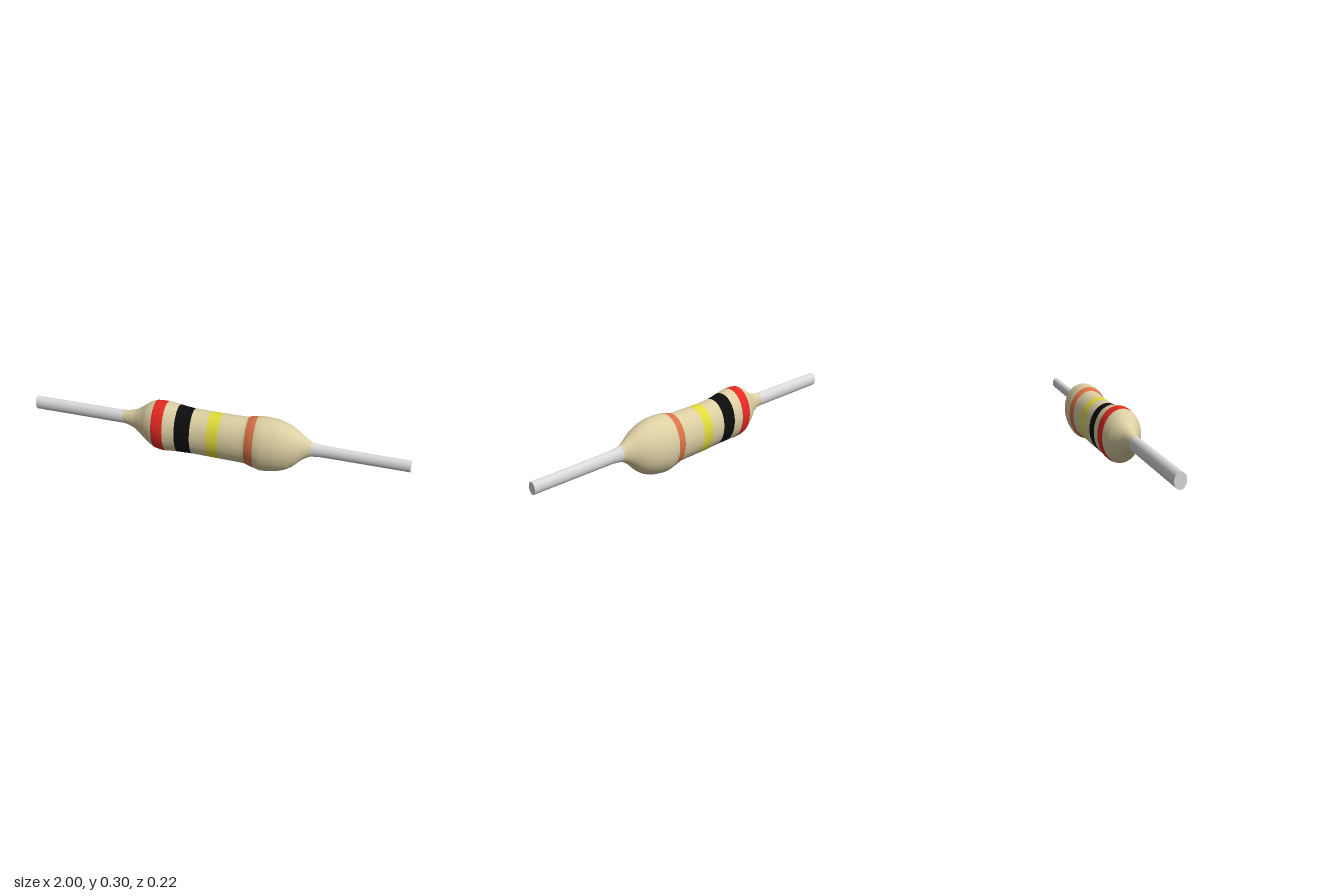
import * as THREE from 'three';

// Hull stations along x: [x, top y, bottom y, centre z]
const STATIONS = [
  [-1, 0.219, 0.144, 0.007], [-0.55, 0.219, 0.144, 0.007], [-0.49, 0.220, 0.144, 0.007],
  [-0.43, 0.231, 0.127, 0.007], [-0.38, 0.259, 0.088, 0.006], [-0.34, 0.290, 0.056, 0.006],
  [-0.30, 0.305, 0.033, 0.006], [-0.26, 0.307, 0.026, 0.006], [-0.20, 0.300, 0.029, 0.003],
  [-0.12, 0.287, 0.030, 0], [0, 0.282, 0.027, -0.003], [0.17, 0.283, 0.025, -0.003],
  [0.22, 0.296, 0.013, -0.002], [0.27, 0.301, 0.002, -0.001], [0.33, 0.298, 0.009, -0.001],
  [0.39, 0.282, 0.029, 0], [0.43, 0.263, 0.058, 0.002], [0.48, 0.231, 0.109, 0.005],
  [0.52, 0.210, 0.132, 0.007], [0.58, 0.203, 0.138, 0.008], [1, 0.199, 0.138, 0.008],
];
const Z_RATIO = 0.73; // oval section: depth relative to height
const SIDES = 64;

// Monotone cubic interpolation of one station column
function sample(col, x) {
  const S = STATIONS, n = S.length;
  let k = 0;
  while (k < n - 2 && x > S[k + 1][0]) k++;
  const secant = i => (S[i + 1][col] - S[i][col]) / (S[i + 1][0] - S[i][0]);
  const slope = i => {
    if (i === 0 || i === n - 1) return 0;
    const a = secant(i - 1), b = secant(i);
    return a * b <= 0 ? 0 : (2 * a * b) / (a + b);
  };
  const h = S[k + 1][0] - S[k][0], t = (x - S[k][0]) / h, t2 = t * t, t3 = t2 * t;
  return (2 * t3 - 3 * t2 + 1) * S[k][col] + (t3 - 2 * t2 + t) * h * slope(k)
    + (3 * t2 - 2 * t3) * S[k + 1][col] + (t3 - t2) * h * slope(k + 1);
}

function section(x) {
  const top = sample(1, x), bottom = sample(2, x), ry = (top - bottom) / 2;
  return { cy: (top + bottom) / 2, cz: sample(3, x), ry, rz: ry * Z_RATIO };
}

function hullPoint(x, angle, target) {
  const s = section(x);
  return target.set(x, s.cy + s.ry * Math.cos(angle), s.cz + s.rz * Math.sin(angle));
}

// Smooth slice of the hull between two x positions
function sliceGeometry(x0, x1) {
  const rows = Math.max(2, Math.ceil((x1 - x0) / 0.012));
  const positions = [], normals = [], index = [];
  const p = new THREE.Vector3(), a = new THREE.Vector3(), b = new THREE.Vector3();
  for (let i = 0; i <= rows; i++) {
    const x = x0 + (x1 - x0) * i / rows;
    for (let j = 0; j <= SIDES; j++) {
      const angle = j / SIDES * Math.PI * 2;
      hullPoint(x, angle, p);
      positions.push(p.x, p.y, p.z);
      // Normals come from the hull itself, so neighbouring slices match
      const along = hullPoint(Math.min(x + 0.002, 1), angle, a)
        .sub(hullPoint(Math.max(x - 0.002, -1), angle, b)).clone();
      const around = hullPoint(x, angle + 0.01, a).sub(hullPoint(x, angle - 0.01, b));
      const normal = around.cross(along).normalize();
      normals.push(normal.x, normal.y, normal.z);
      if (i < rows && j < SIDES) {
        const q = i * (SIDES + 1) + j, r = q + SIDES + 1;
        index.push(q, q + 1, r, q + 1, r + 1, r);
      }
    }
  }
  const geometry = new THREE.BufferGeometry();
  geometry.setAttribute('position', new THREE.Float32BufferAttribute(positions, 3));
  geometry.setAttribute('normal', new THREE.Float32BufferAttribute(normals, 3));
  geometry.setIndex(index);
  return geometry;
}

export function createModel() {
  const material = (name, color) => {
    const m = new THREE.MeshStandardMaterial({ color });
    m.name = name;
    return m;
  };
  const metal = material('lead metal', 0xd9d9dc);
  const beige = material('beige coating', 0xdccfa3);
  const red = material('red paint', 0xe52a22);
  const black = material('black paint', 0x0c0c0c);
  const yellow = material('yellow paint', 0xe0da3c);
  const orange = material('orange paint', 0xdc7347);

  const model = new THREE.Group();
  model.name = 'resistor';
  const add = (name, geometry, mat) => {
    const mesh = new THREE.Mesh(geometry, mat);
    mesh.name = name;
    model.add(mesh);
    return mesh;
  };

  // Leads, coated body and colour bands, from right to left lead
  const slices = [
    ['rightLeadTip', -1, -0.82, metal],
    ['rightLead', -0.82, -0.49, metal],
    ['rightBodyEnd', -0.49, -0.305, beige],
    ['redBand', -0.305, -0.243, red],
    ['bodyRedToBlack', -0.243, -0.18, beige],
    ['blackBand', -0.18, -0.1, black],
    ['bodyBlackToYellow', -0.1, -0.013, beige],
    ['yellowBand', -0.013, 0.05, yellow],
    ['bodyYellowToOrange', 0.05, 0.187, beige],
    ['orangeBand', 0.187, 0.233, orange],
    ['leftBodyEnd', 0.233, 0.515, beige],
    ['leftLead', 0.515, 1, metal],
  ];
  for (const [name, x0, x1, mat] of slices) add(name, sliceGeometry(x0, x1), mat);

  // Flat lead ends
  for (const side of [-1, 1]) {
    const s = section(side);
    const cap = new THREE.CircleGeometry(1, SIDES);
    cap.scale(s.rz, s.ry, 1).rotateY(side * Math.PI / 2).translate(side, s.cy, s.cz);
    add(side > 0 ? 'leftLeadCap' : 'rightLeadCap', cap, metal);
  }
  return model;
}
